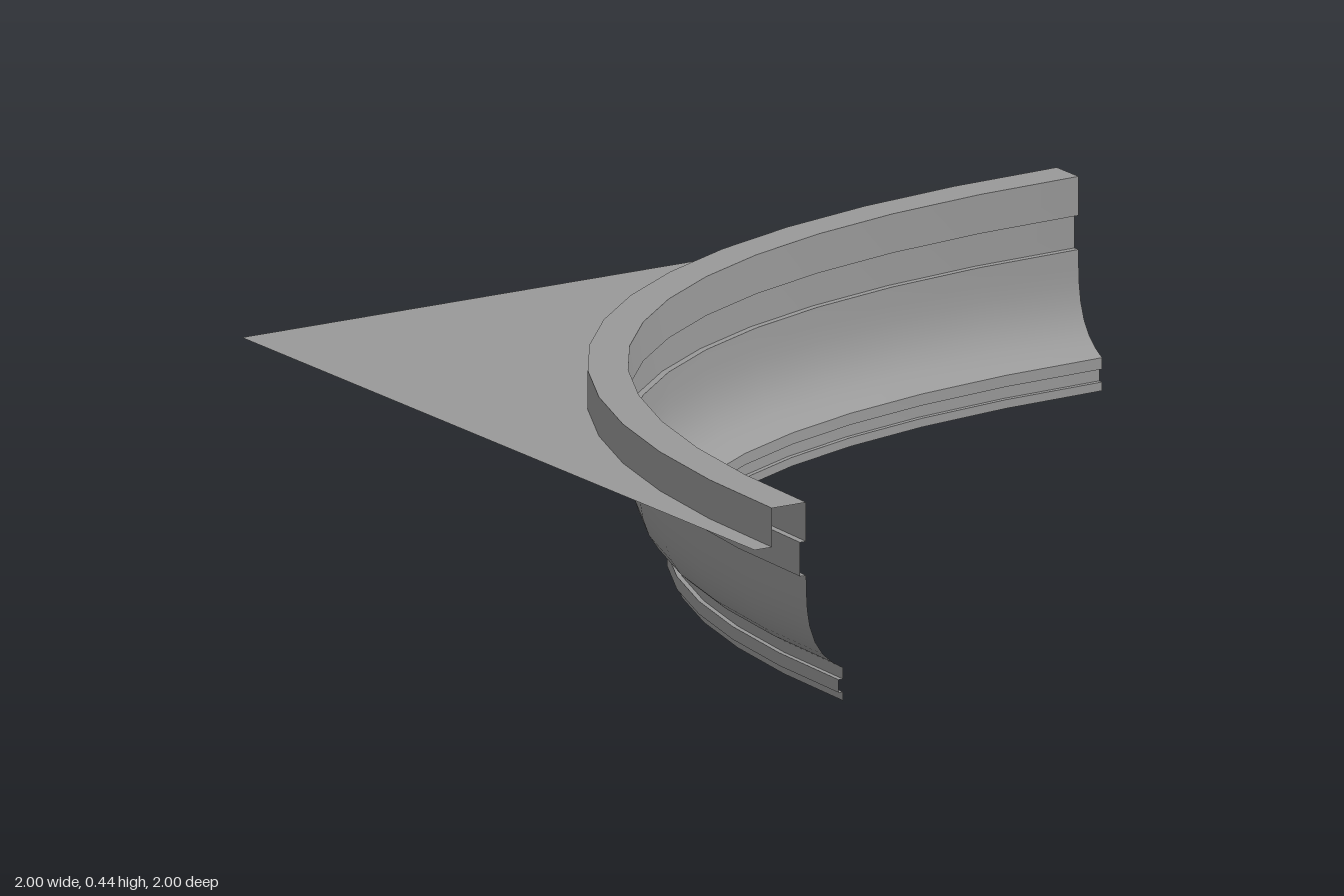
import * as THREE from 'three';

const SEGMENTS = 14;
const PLATE_Y = 0.36;
const CROWN_TOP = 0.445;

const material = new THREE.MeshStandardMaterial({ color: 0x999999, side: THREE.DoubleSide });

// Outer edge of the crown in plan (x, z): a quarter curve bulging towards the corner
const REACH = 1.957;
const HANDLE = REACH * 0.643;
const path = new THREE.CubicBezierCurve(
  new THREE.Vector2(1, 1 - REACH),
  new THREE.Vector2(1 - HANDLE, 1 - REACH),
  new THREE.Vector2(1 - REACH, 1 - HANDLE),
  new THREE.Vector2(1 - REACH, 1),
);

// Sweeps an open profile of [inset from the outer edge, height] along the path.
function sweep(name, profile) {
  const geometry = new THREE.PlaneGeometry(1, 1, SEGMENTS, profile.length - 1);
  const position = geometry.attributes.position;
  for (let i = 0; i < position.count; i++) {
    const t = (i % (SEGMENTS + 1)) / SEGMENTS;
    const [inset, y] = profile[Math.floor(i / (SEGMENTS + 1))];
    const p = path.getPoint(t);
    const d = path.getTangent(t);
    position.setXYZ(i, p.x + d.y * inset, y, p.y - d.x * inset);
  }
  geometry.computeVertexNormals();
  const mesh = new THREE.Mesh(geometry, material);
  mesh.name = name;
  return mesh;
}

// Sweeps each straight run on its own, so the corners stay sharp.
function sharpSweep(name, points) {
  const group = new THREE.Group();
  group.name = name;
  for (let i = 0; i < points.length - 1; i++) {
    group.add(sweep(name + 'Face' + (i + 1), [points[i + 1], points[i]]));
  }
  return group;
}

export function createModel() {
  const model = new THREE.Group();
  model.name = 'curvedMoulding';

  // Lower lip with its shallow groove
  model.add(sharpSweep('lowerLip', [
    [0.177, 0], [0.177, 0.019], [0.166, 0.019], [0.166, 0.047], [0.177, 0.047], [0.177, 0.072],
  ]));

  // Hollow cove, smooth from the fascia down to the lip
  model.add(sweep('cove', [
    [0.085, 0.286], [0.086, 0.246], [0.088, 0.211], [0.094, 0.174],
    [0.107, 0.138], [0.127, 0.108], [0.151, 0.087], [0.177, 0.072],
  ]));

  // Recessed fascia
  model.add(sharpSweep('fascia', [
    [0.085, 0.286], [0.07, 0.286], [0.07, PLATE_Y], [0.085, PLATE_Y],
  ]));

  // Crown channel, open underneath
  model.add(sharpSweep('crown', [
    [0.085, PLATE_Y], [0.085, CROWN_TOP], [0, CROWN_TOP], [0, PLATE_Y],
  ]));

  // Thin corner plate between the crown and the square corner
  const shape = new THREE.Shape([
    new THREE.Vector2(-1, 1), new THREE.Vector2(-1, -1), new THREE.Vector2(1, -1),
    ...path.getPoints(SEGMENTS),
  ]);
  const plate = new THREE.Mesh(new THREE.ShapeGeometry(shape).rotateX(Math.PI / 2), material);
  plate.position.y = PLATE_Y;
  plate.name = 'cornerPlate';
  model.add(plate);

  return model;
}
